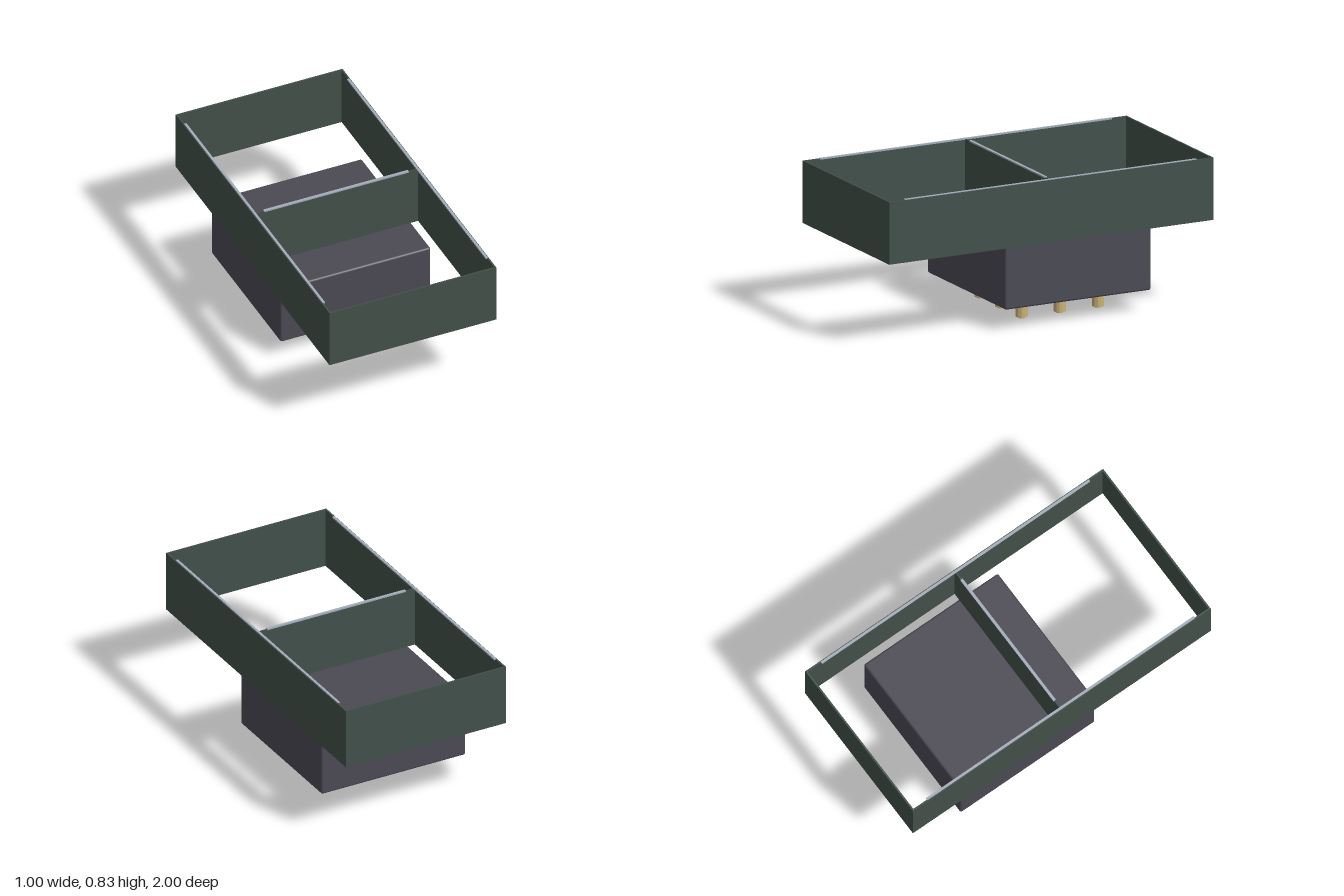
import * as THREE from 'three';
import { RoundedBoxGeometry } from 'three/addons/geometries/RoundedBoxGeometry.js';

const material = (name, color) => {
  const m = new THREE.MeshStandardMaterial({ color });
  m.name = name;
  return m;
};

export function createModel() {
  const green = material('dark green panel', 0x42504a);
  const grey = material('charcoal housing', 0x4b4a54);
  const brass = material('brass', 0xcbb27a);
  const steel = material('pale steel', 0xa3adba);
  brass.flatShading = true;

  const model = new THREE.Group();
  model.name = 'pinModule';
  const add = (name, geometry, mat, x, y, z, parent = model) => {
    const mesh = new THREE.Mesh(geometry, mat);
    mesh.name = name;
    mesh.position.set(x, y, z);
    parent.add(mesh);
    return mesh;
  };
  const box = (name, w, h, d, mat, x, y, z) =>
    add(name, new THREE.BoxGeometry(w, h, d), mat, x, y, z);

  // Open rectangular frame, a thin-walled ring
  const outline = new THREE.Shape([[-0.5, -1], [0.5, -1], [0.5, 1], [-0.5, 1]]
    .map(([x, y]) => new THREE.Vector2(x, y)));
  outline.holes.push(new THREE.Path([[-0.49, -0.99], [-0.49, 0.99], [0.49, 0.99], [0.49, -0.99]]
    .map(([x, y]) => new THREE.Vector2(x, y))));
  const ring = new THREE.ExtrudeGeometry(outline, { depth: 0.351, bevelEnabled: false });
  ring.rotateX(-Math.PI / 2);
  add('frame', ring, green, 0, 0.48, 0);

  // Cross wall and steel strips along the top edges
  box('divider', 0.98, 0.35, 0.008, green, 0, 0.655, 0);
  box('dividerStrip', 0.865, 0.008, 0.016, steel, 0, 0.831, 0);
  for (const side of [-1, 1]) {
    box('sideStrip', 0.014, 0.008, 1.8, steel, side * 0.488, 0.831, 0);
  }

  // Housing below, set towards the back
  const backset = -0.193;
  add('housing', new RoundedBoxGeometry(0.9, 0.362, 0.9, 3, 0.012), grey, 0, 0.299, backset);
  box('contactPlate', 0.76, 0.012, 0.76, brass, 0, 0.116, backset);

  // Three by three grid of stepped pins
  const shaft = new THREE.CylinderGeometry(0.034, 0.034, 0.104, 12);
  const tip = new THREE.CylinderGeometry(0.02, 0.02, 0.012, 12);
  for (const i of [-1, 0, 1]) {
    for (const j of [-1, 0, 1]) {
      const pin = new THREE.Group();
      pin.name = 'pin';
      pin.position.set(i * 0.236, 0, backset + j * 0.236);
      add('pinShaft', shaft, brass, 0, 0.06, 0, pin);
      add('pinTip', tip, brass, 0, 0.006, 0, pin);
      model.add(pin);
    }
  }
  return model;
}
